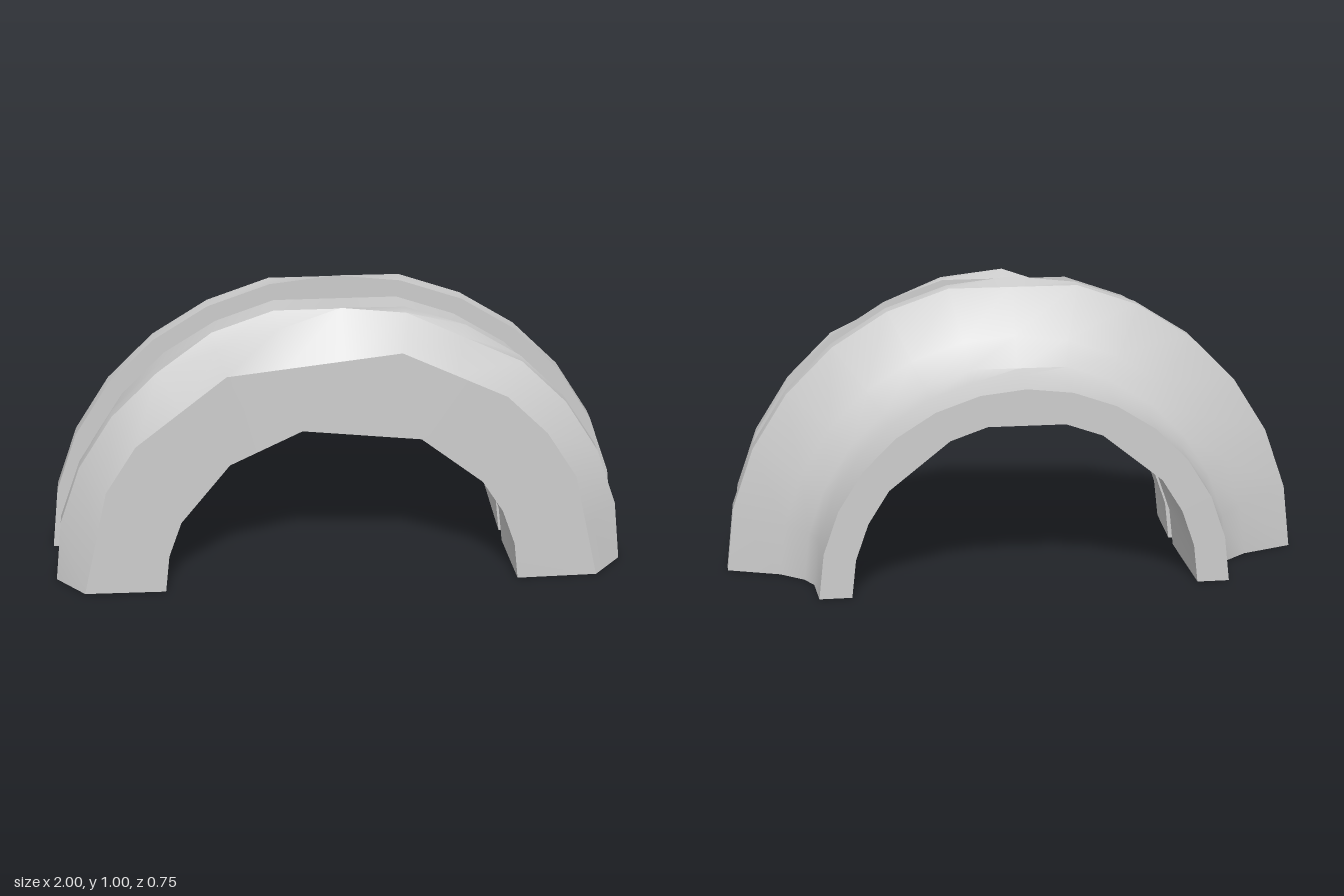
import * as THREE from 'three';
import { toCreasedNormals } from 'three/addons/utils/BufferGeometryUtils.js';

const STEPS = 14; // facets over the half turn

// Closed section: [radius, z, facet corners this ring skips]
const SECTION = [
  [0.88, 0.37, [1, 5, 7, 8, 10, 13]],  // front face, outer edge
  [0.98, 0.26, [5, 8, 9]],             // chamfer
  [0.98, 0.207, [7]],                  // front rim
  [0.94, 0.207, []],                   // outer groove
  [0.94, 0.022, [7]],
  [1.0, 0.022, []],                    // flange
  [1.0, -0.037, [7]],
  [0.82, -0.105, []],                  // concave shoulder
  [0.74, -0.172, [7]],
  [0.71, -0.23, []],                   // neck
  [0.70, -0.375, []],
  [0.59, -0.375, [4, 7, 10]],          // bore
  [0.59, 0.03, []],
  [0.84, 0.03, []],                    // inner slot
  [0.84, 0.105, []],
  [0.59, 0.105, []],
  [0.605, 0.375, [4, 6, 7, 9, 11]],    // front face, inner edge
];

// One ring of points; skipped corners fall on the chord between their neighbours
function ringPoints([r, z, skip]) {
  const corner = (i) => {
    const a = (i / STEPS) * Math.PI;
    return new THREE.Vector3(r * Math.cos(a), r * Math.sin(a), z);
  };
  const points = [];
  for (let i = 0; i <= STEPS; i++) {
    let lo = i, hi = i;
    while (skip.includes(lo)) lo--;
    while (skip.includes(hi)) hi++;
    points.push(hi > lo ? corner(lo).lerp(corner(hi), (i - lo) / (hi - lo)) : corner(i));
  }
  return points;
}

function halfRingGeometry() {
  const rings = SECTION.map(ringPoints);
  const pos = [];
  const tri = (...pts) => pts.forEach((p) => pos.push(p.x, p.y, p.z));

  // Swept surface
  rings.forEach((ring, k) => {
    const next = rings[(k + 1) % rings.length];
    for (let i = 0; i < STEPS; i++) {
      tri(ring[i], next[i], ring[i + 1]);
      tri(next[i], next[i + 1], ring[i + 1]);
    }
  });

  // Flat cut ends on the ground
  const outline = SECTION.map(([r, z]) => new THREE.Vector2(r, z));
  for (const face of THREE.ShapeUtils.triangulateShape(outline, [])) {
    const ccw = THREE.ShapeUtils.area(face.map((n) => outline[n])) > 0;
    const [a, b, c] = ccw ? face : [face[0], face[2], face[1]];
    tri(rings[a][0], rings[b][0], rings[c][0]);
    tri(rings[a][STEPS], rings[c][STEPS], rings[b][STEPS]);
  }

  const geometry = new THREE.BufferGeometry();
  geometry.setAttribute('position', new THREE.Float32BufferAttribute(pos, 3));
  return toCreasedNormals(geometry, 0.62);
}

export function createModel() {
  const group = new THREE.Group();
  group.name = 'halfCollar';
  const ring = new THREE.Mesh(
    halfRingGeometry(),
    new THREE.MeshStandardMaterial({ color: 0xcccccc })
  );
  ring.name = 'groovedHalfRing';
  group.add(ring);
  return group;
}
